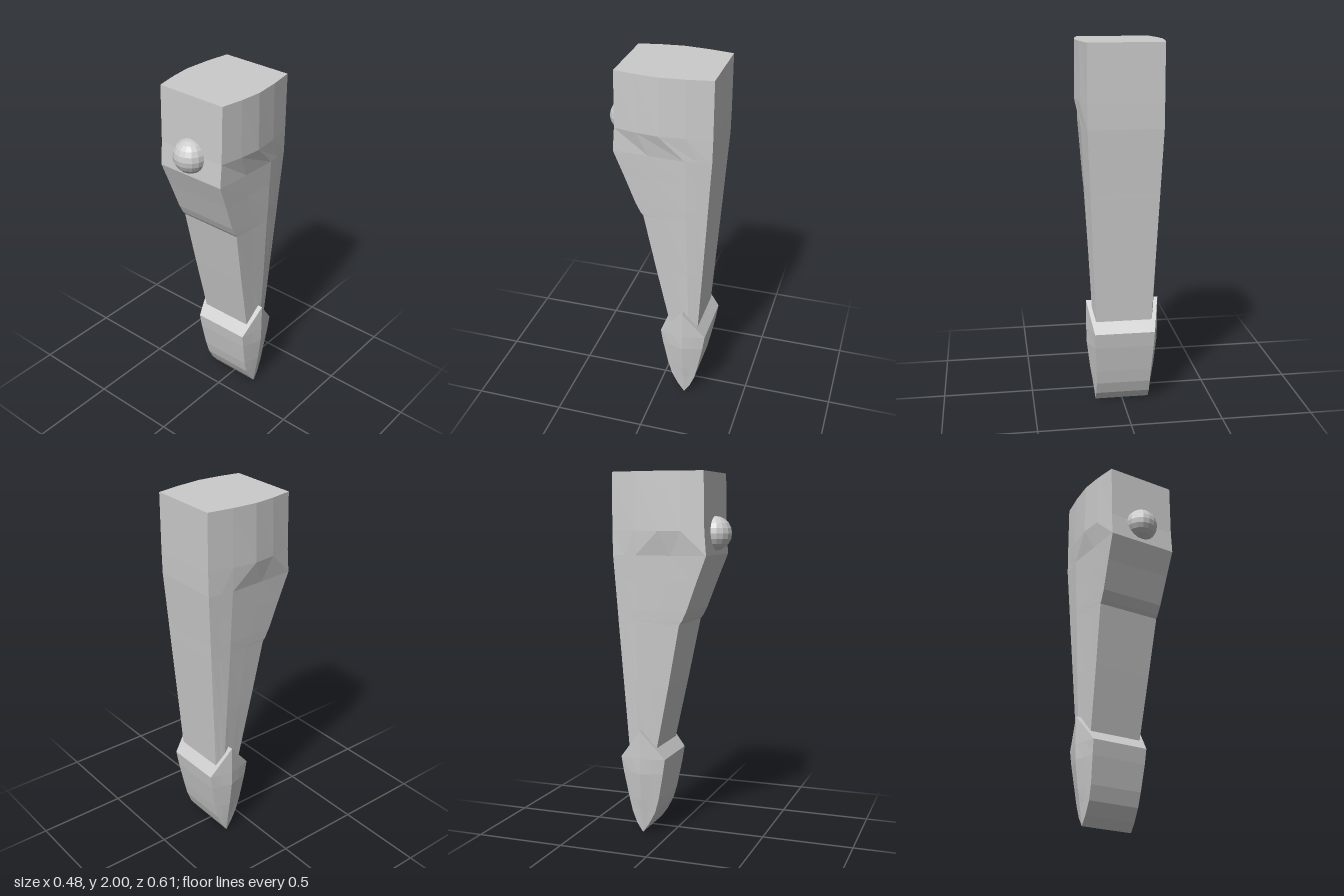
import * as THREE from 'three';

const material = new THREE.MeshStandardMaterial({ color: 0xcccccc, flatShading: true });

// Horizontal ring: flat front and back, sides swelling out to a ridge
function ring([y, front, ridge, back, cornerX, ridgeX, swell = 0.5]) {
  const midX = THREE.MathUtils.lerp(cornerX, ridgeX, swell);
  const side = [
    [cornerX, front], [midX, (front + ridge) / 2], [ridgeX, ridge],
    [midX, (ridge + back) / 2], [cornerX, back],
  ];
  const mirrored = side.map(([x, z]) => [-x, z]).reverse();
  return [...side, ...mirrored].map(([x, z]) => [x, y, z]);
}

// Closed skin over rings listed from top to bottom
function loft(name, rows) {
  const rings = rows.map(ring);
  const n = rings[0].length;
  const positions = [];
  const tri = (a, b, c) => positions.push(...a, ...b, ...c);
  for (let r = 0; r < rings.length - 1; r++) {
    const top = rings[r], low = rings[r + 1];
    for (let i = 0; i < n; i++) {
      const j = (i + 1) % n;
      tri(top[i], low[i], low[j]);
      tri(top[i], low[j], top[j]);
    }
  }
  const first = rings[0], last = rings[rings.length - 1];
  for (let i = 1; i < n - 1; i++) {
    tri(first[0], first[i], first[i + 1]);
    tri(last[0], last[i + 1], last[i]);
  }
  const geometry = new THREE.BufferGeometry();
  geometry.setAttribute('position', new THREE.Float32BufferAttribute(positions, 3));
  geometry.computeVertexNormals();
  const mesh = new THREE.Mesh(geometry, material);
  mesh.name = name;
  return mesh;
}

export function createModel() {
  const group = new THREE.Group();
  group.name = 'taperedLeg';

  // Block at the top running down into the tapered shaft
  // Rows: y, front z, ridge z, back z, corner x, ridge x, side swell
  group.add(loft('shaft', [
    [2.0, 0.21, -0.03, -0.305, 0.2, 0.235, 0.65],
    [1.69, 0.215, -0.03, -0.305, 0.2, 0.24, 0.65],
    [1.56, 0.225, -0.165, -0.303, 0.2, 0.22],
    [1.42, 0.17, -0.167, -0.294, 0.194, 0.213],
    [1.26, 0.11, -0.17, -0.284, 0.187, 0.206],
    [1.21, 0.085, -0.17, -0.281, 0.185, 0.203],
    [1.19, 0.07, -0.17, -0.28, 0.184, 0.202],
    [0.85, 0.003, -0.178, -0.258, 0.169, 0.186],
    [0.45, -0.08, -0.185, -0.232, 0.152, 0.165],
  ]));

  // Wedge foot with a sloping collar on top
  group.add(loft('foot', [
    [0.595, -0.155, -0.155, -0.155, 0.2, 0.2],
    [0.435, -0.02, -0.155, -0.28, 0.165, 0.2],
    [0.35, -0.033, -0.155, -0.267, 0.162, 0.198],
    [0.2, -0.062, -0.157, -0.238, 0.153, 0.18],
    [0.12, -0.085, -0.158, -0.22, 0.15, 0.167],
    [0.05, -0.122, -0.158, -0.192, 0.15, 0.157],
    [0.0, -0.158, -0.158, -0.158, 0.15, 0.15],
  ]));

  // Round knob on the front of the block
  const knob = new THREE.Mesh(new THREE.SphereGeometry(0.093, 16, 10), material);
  knob.name = 'knob';
  knob.position.set(-0.005, 1.675, 0.212);
  group.add(knob);

  return group;
}
